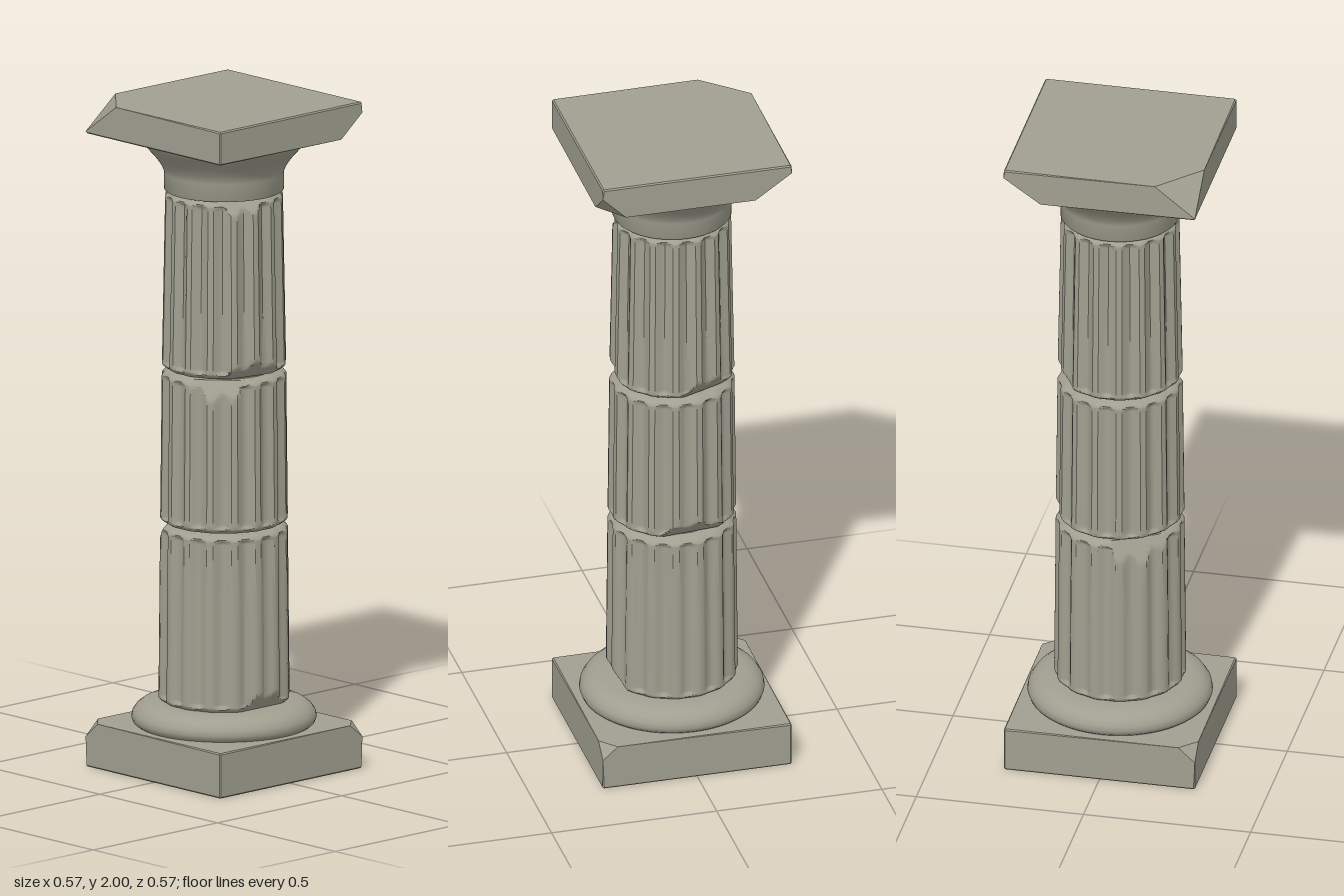
import * as THREE from 'three';
import { toCreasedNormals } from 'three/addons/utils/BufferGeometryUtils.js';
import { ConvexGeometry } from 'three/addons/geometries/ConvexGeometry.js';

const HALF = 0.286;
const FLUTES = 16;

// Square slab with fine bevels; chips cut whole corners, keyed by the signs of x, y, z
function slab(y0, y1, chips) {
  const points = [];
  const b = 0.004;
  for (const sx of [-1, 1]) for (const sy of [-1, 1]) for (const sz of [-1, 1]) {
    const x = sx * HALF, y = sy > 0 ? y1 : y0, z = sz * HALF;
    const chip = chips.find(c => c.at[0] === sx && c.at[1] === sy && c.at[2] === sz);
    if (chip) {
      const [dx, dy, dz] = chip.cut;
      points.push(
        new THREE.Vector3(x - sx * dx, y, z),
        new THREE.Vector3(x, y - sy * dy, z),
        new THREE.Vector3(x, y, z - sz * dz));
    } else {
      points.push(
        new THREE.Vector3(x, y - sy * b, z - sz * b),
        new THREE.Vector3(x - sx * b, y, z - sz * b),
        new THREE.Vector3(x - sx * b, y - sy * b, z));
    }
  }
  return new ConvexGeometry(points);
}

// Lathe whose radius is reshaped by rule(radius, angle, y)
function turned(profile, segments, rule) {
  const geometry = new THREE.LatheGeometry(profile.map(p => new THREE.Vector2(...p)), segments);
  const pos = geometry.attributes.position;
  for (let i = 0; rule && i < pos.count; i++) {
    const x = pos.getX(i), y = pos.getY(i), z = pos.getZ(i);
    const r = Math.hypot(x, z);
    if (r < 1e-4) continue;
    const a = Math.atan2(x, z), k = rule(r, a, y) / r;
    pos.setXYZ(i, x * k, y, z * k);
  }
  return toCreasedNormals(geometry, 0.6);
}

// Limit a radius to a flat cut facing the given angle
function planeCut(r, angle, facing, distance) {
  const c = Math.cos(angle - facing);
  return c > 0.2 ? Math.min(r, distance / c) : r;
}

// Fluted drum with rounded rims and slanted breaks on its edges
function drum(y0, y1, r0, r1, chips) {
  const height = y1 - y0;
  const near = [0, 0.003, 0.007, 0.011, 0.015, 0.019, 0.023, 0.028, 0.034, 0.041, 0.049, 0.058, 0.07, 0.085];
  const rows = [...near, height * 0.35, height * 0.5, height * 0.65, ...near.map(h => height - h).reverse()];
  const radius = y => r0 + (r1 - r0) * (y - y0) / height;
  const profile = [[0, y0], ...rows.map(h => [radius(y0 + h), y0 + h]), [0, y1]];
  return turned(profile, FLUTES * 8, (r, a, y) => {
    const edge = Math.min(y - y0, y1 - y);
    const rim = 0.018 * Math.pow(1 - Math.min(edge / 0.015, 1), 1.5);
    const fade = 0.2 + 0.8 * THREE.MathUtils.smoothstep(edge, 0.008, 0.024);
    const flute = 0.015 * fade * Math.max(0, (Math.cos(FLUTES * a) + 0.6) / 1.6);
    let out = r - rim - flute;
    for (const { end, facing, rise, depth } of chips) {
      const h = end === 'top' ? y1 - y : y - y0;
      if (h < rise) out = planeCut(out, a, facing, r - depth * (1 - h / rise));
    }
    return out;
  });
}

export function createModel() {
  const stone = new THREE.MeshStandardMaterial({ color: 0xa09f90 });
  stone.name = 'weatheredStone';
  const group = new THREE.Group();
  group.name = 'column';
  const add = (name, geometry) => {
    const mesh = new THREE.Mesh(geometry, stone);
    mesh.name = name;
    group.add(mesh);
  };

  // Foot: square plinth and rounded cushion
  add('plinth', slab(0, 0.135, [
    { at: [1, 1, 1], cut: [0.05, 0.04, 0.045] },
    { at: [-1, 1, -1], cut: [0.05, 0.045, 0.05] },
  ]));
  add('baseCushion', turned([
    [0, 0.133], [0.255, 0.133], [0.266, 0.142], [0.271, 0.155], [0.268, 0.17],
    [0.258, 0.185], [0.242, 0.197], [0.22, 0.204], [0.2, 0.206], [0, 0.206],
  ], 64));

  // Shaft: three drums around a hidden core
  const core = new THREE.CylinderGeometry(0.14, 0.14, 1.56, 32);
  core.translate(0, 0.97, 0);
  add('shaftCore', core);
  add('lowerDrum', drum(0.203, 0.735, 0.193, 0.188, [
    { end: 'bottom', facing: 0, rise: 0.055, depth: 0.036 },
    { end: 'top', facing: Math.PI + 0.5, rise: 0.075, depth: 0.036 },
  ]));
  add('middleDrum', drum(0.741, 1.197, 0.188, 0.183, [
    { end: 'bottom', facing: Math.PI / 2 + 0.1, rise: 0.05, depth: 0.042 },
    { end: 'top', facing: -0.85, rise: 0.06, depth: 0.034 },
  ]));
  add('upperDrum', drum(1.203, 1.735, 0.183, 0.173, [
    { end: 'bottom', facing: -0.2, rise: 0.05, depth: 0.036 },
    { end: 'bottom', facing: Math.PI / 2 + 0.4, rise: 0.05, depth: 0.036 },
    { end: 'top', facing: -0.45, rise: 0.045, depth: 0.03 },
  ]));

  // Capital: neck and flare with two worn sides, then the top slab
  add('capitalFlare', turned([
    [0, 1.737], [0.173, 1.737], [0.175, 1.74], [0.175, 1.79], [0.179, 1.803], [0.187, 1.818],
    [0.199, 1.835], [0.214, 1.853], [0.23, 1.87], [0.242, 1.883], [0.247, 1.893], [0.247, 1.902], [0, 1.902],
  ], 96, (r, a) => planeCut(planeCut(r, a, Math.PI * 0.75, 0.229), a, -Math.PI / 4, 0.234)));
  add('topSlab', slab(1.9, 2, [
    { at: [-1, 1, -1], cut: [0.12, 0.094, 0.13] },
    { at: [1, -1, -1], cut: [0.11, 0.075, 0.11] },
    { at: [1, -1, 1], cut: [0.085, 0.068, 0.07] },
  ]));
  return group;
}
